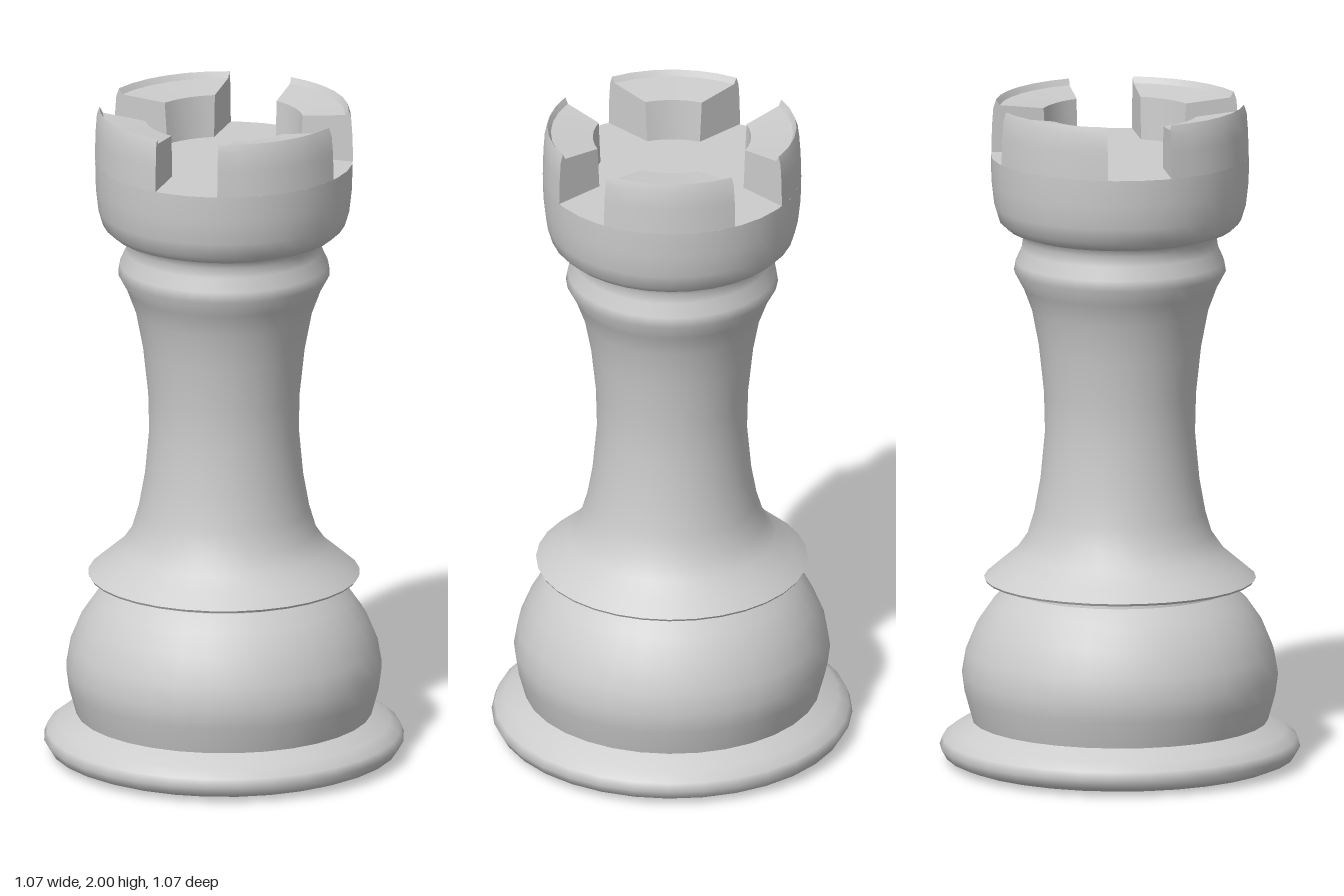
import * as THREE from 'three';
import { toCreasedNormals } from 'three/addons/utils/BufferGeometryUtils.js';

const SIDES = 32;
const SLOT = 0.096; // half width of the crown slots
const FLOOR = 1.84; // height of the crown floor

// One battlement: a cross-section swept round a quarter, with ends parallel to the slots
function merlonGeometry(section, steps = 6) {
  const point = ([r, y], i) => {
    const edge = Math.asin(SLOT / r);
    const a = edge + (Math.PI / 2 - 2 * edge) * (i / steps);
    return [r * Math.sin(a), y, r * Math.cos(a)];
  };
  const pos = [];
  const tri = (a, b, c) => pos.push(...a, ...b, ...c);
  for (let i = 0; i < steps; i++) {
    for (let j = 0; j < section.length - 1; j++) {
      const a = point(section[j], i), b = point(section[j], i + 1);
      const c = point(section[j + 1], i + 1), d = point(section[j + 1], i);
      tri(a, b, d);
      tri(b, c, d);
    }
  }
  const outline = section.map(([r, y]) => new THREE.Vector2(r, y));
  for (const [a, b, c] of THREE.ShapeUtils.triangulateShape(outline, [])) {
    tri(point(section[a], 0), point(section[b], 0), point(section[c], 0));
    tri(point(section[a], steps), point(section[c], steps), point(section[b], steps));
  }
  const geo = new THREE.BufferGeometry();
  geo.setAttribute('position', new THREE.Float32BufferAttribute(pos, 3));
  return toCreasedNormals(geo, Math.PI / 6);
}

export function createModel() {
  const group = new THREE.Group();
  const grey = new THREE.MeshStandardMaterial({ color: 0xcccccc });
  grey.name = 'light grey';

  const add = (name, geo) => {
    const mesh = new THREE.Mesh(geo, grey);
    mesh.name = name;
    group.add(mesh);
    return mesh;
  };
  const turned = (name, profile) =>
    add(name, new THREE.LatheGeometry(profile.map(([r, y]) => new THREE.Vector2(r, y)), SIDES));

  // Foot
  turned('footUnderside', [[0, 0], [0.34, 0], [0.49, 0.01]]);
  turned('footRing', [[0.49, 0.01], [0.52, 0.022], [0.536, 0.05], [0.527, 0.075], [0.495, 0.1], [0.44, 0.13]]);

  // Rounded lower body
  turned('bulb', [[0.44, 0.13], [0.462, 0.21], [0.47, 0.27], [0.458, 0.34], [0.425, 0.42], [0.38, 0.485], [0.333, 0.53]]);

  // Collar with a sharp rim
  turned('collarNeck', [[0.333, 0.53], [0.33, 0.546]]);
  turned('collarUnderside', [[0.33, 0.546], [0.4, 0.553]]);
  turned('collarRim', [[0.4, 0.553], [0.404, 0.56]]);

  // Waisted stem and the bead below the crown
  turned('stem', [
    [0.404, 0.56], [0.36, 0.598], [0.31, 0.64], [0.275, 0.69], [0.254, 0.76], [0.236, 0.86],
    [0.223, 1.0], [0.226, 1.12], [0.241, 1.26], [0.262, 1.37], [0.288, 1.44], [0.315, 1.49],
    [0.31, 1.52], [0.292, 1.56], [0.288, 1.59], [0.3, 1.61],
  ]);

  // Crown
  turned('crownWall', [[0.3, 1.61], [0.335, 1.622], [0.36, 1.645], [0.374, 1.69], [0.382, 1.76], [0.384, FLOOR]]);
  turned('crownFloor', [[0.384, FLOOR], [0.228, FLOOR], [0, FLOOR]]);

  // Four battlements with slightly dished tops
  const merlon = merlonGeometry([
    [0.384, FLOOR], [0.382, 1.92], [0.378, 1.975], [0.37, 2.0],
    [0.36, 1.982], [0.235, 1.968], [0.228, FLOOR],
  ]);
  for (let i = 0; i < 4; i++) add('battlement', merlon).rotation.y = (i * Math.PI) / 2;

  return group;
}
